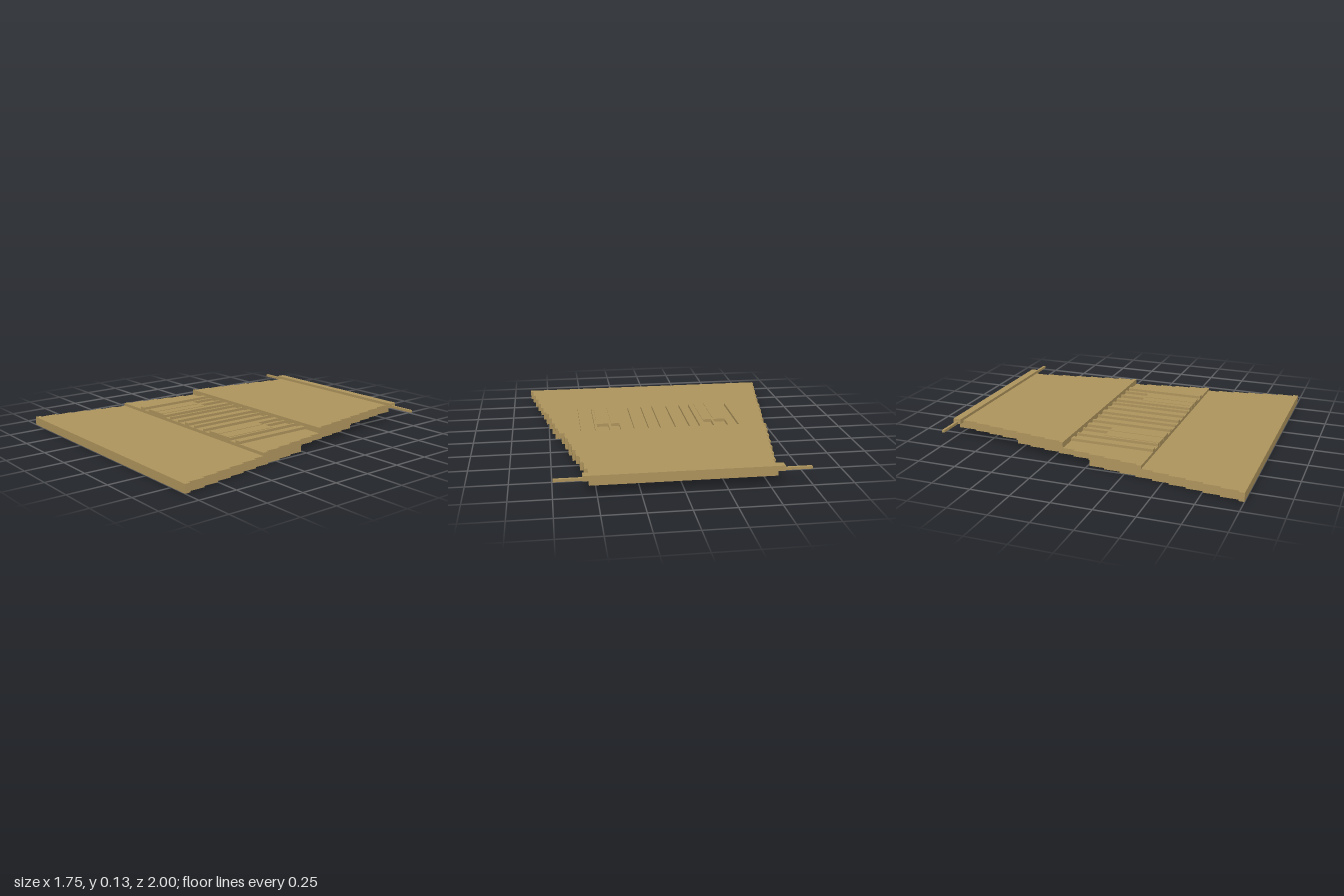
import * as THREE from 'three';

const STEP = 0.1065, FIRST = 0.965, DROP = 0.01845, HALF = 0.877;

// Outline that narrows towards the back in small square steps
function steppedSlab(zFront, zBack, y0, y1) {
  const side = [];
  let half = HALF;
  let z = zFront;
  for (let k = 0; k < 18; k++) {
    const edge = FIRST - k * STEP;
    if (edge <= zBack) break;
    if (edge < zFront) {
      side.push([half, z], [half, edge]);
      z = edge;
    }
    half -= DROP;
  }
  side.push([half, z], [half, zBack]);
  const right = side.map(([x, d]) => new THREE.Vector2(x, -d));
  const left = side.map(([x, d]) => new THREE.Vector2(-x, -d)).reverse();
  const geo = new THREE.ExtrudeGeometry(new THREE.Shape([...right, ...left]), {
    depth: y1 - y0, bevelEnabled: false,
  });
  geo.rotateX(-Math.PI / 2);
  geo.translate(0, y0, 0);
  return geo;
}

export function createModel() {
  const group = new THREE.Group();
  const tan = new THREE.MeshStandardMaterial({ color: 0xad935c });
  tan.name = 'tan';

  const add = (name, geo, parent = group) => {
    const mesh = new THREE.Mesh(geo, tan);
    mesh.name = name;
    parent.add(mesh);
  };
  const box = (name, x0, x1, y0, y1, z0, z1, parent) => {
    const geo = new THREE.BoxGeometry(x1 - x0, y1 - y0, z1 - z0);
    geo.translate((x0 + x1) / 2, (y0 + y1) / 2, (z0 + z1) / 2);
    add(name, geo, parent);
  };

  // Three overlapping slabs, each a little higher than the last
  add('frontSlab', steppedSlab(1, 0.01, 0, 0.055));
  add('middleSlab', steppedSlab(0.36, -0.515, 0.038, 0.075));
  add('rearSlab', steppedSlab(-0.18, -0.975, 0.06, 0.112));

  // Raised slats on the middle slab
  const slats = new THREE.Group();
  slats.name = 'slats';
  group.add(slats);
  const slat = (x, w) => box('slat', x - w / 2, x + w / 2, 0.07, 0.092, -0.185, 0.36, slats);
  slat(0, 0.037);
  for (const s of [-1, 1]) {
    for (const x of [0.265, 0.527]) slat(s * x, 0.037);
    for (const x of [0.09, 0.185, 0.349, 0.443]) slat(s * x, 0.016);
    // Short filler panels between the outer slats
    for (const [x, w] of [[0.396, 0.078], [0.312, 0.058]]) {
      box('fillerPanel', s * x - w / 2, s * x + w / 2, 0.07, 0.095, 0, 0.363, slats);
    }
  }

  // Rear ridge and the thin rod that sticks out on both sides
  box('rearRidge', -0.58, 0.58, 0.098, 0.13, -1, -0.948);
  box('rearRod', -0.745, 0.745, 0.096, 0.112, -0.985, -0.968);

  return group;
}
